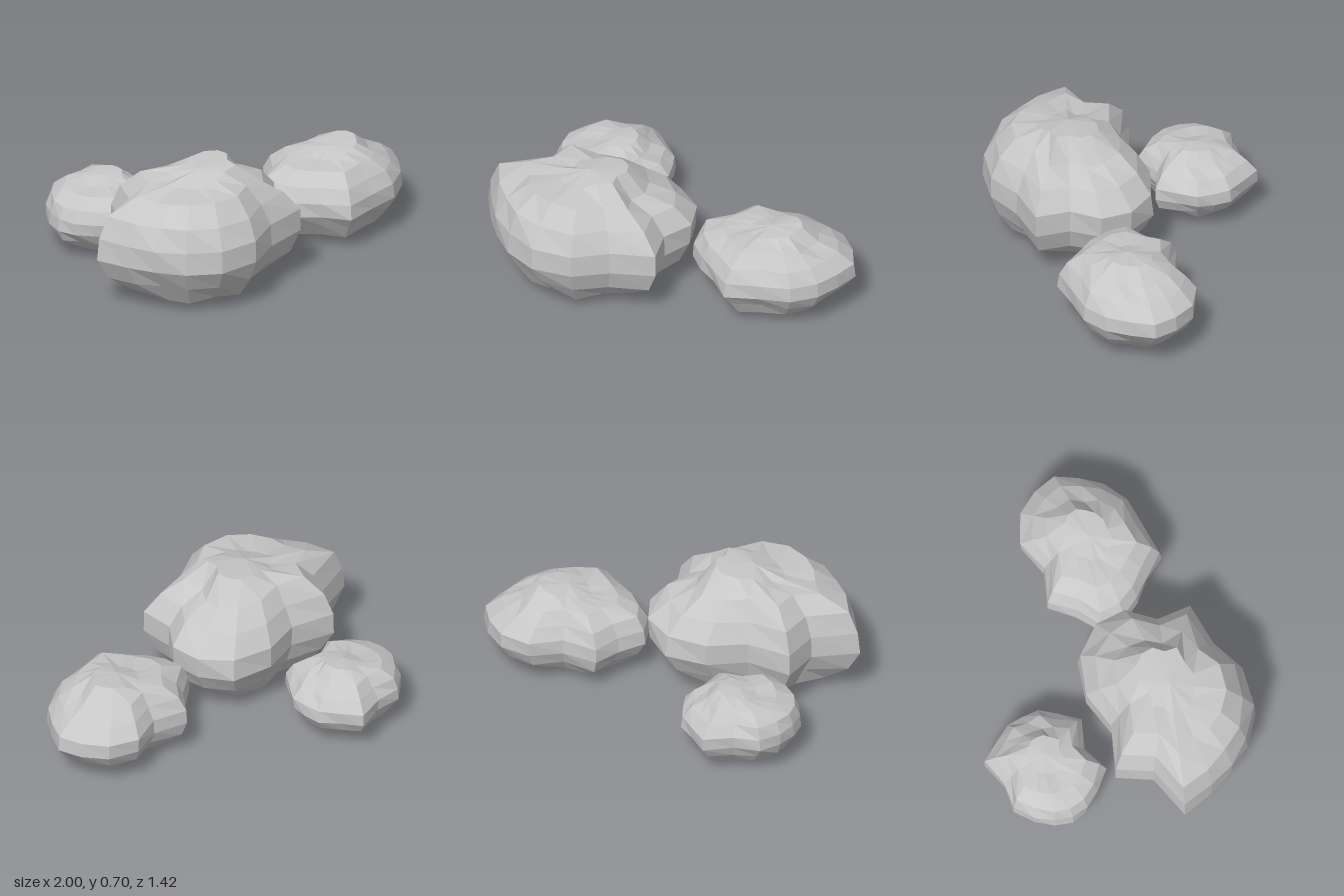
import * as THREE from 'three';

const SEGMENTS = 16, RINGS = 9;

// Repeatable hash in the range -1..1
const noise = (a, b, c) => {
  const s = Math.sin(a * 127.1 + b * 311.7 + c * 74.7) * 43758.5453;
  return (s - Math.floor(s)) * 2 - 1;
};

// Swell of each ring from top pole to bottom pole: [average, change towards +x, change along x, roughness]
const swell = [
  [0.96, 0, 0, 0], [0.955, 0.12, 0, 0.02], [0.96, -0.04, -0.06, 0.03], [0.98, -0.05, 0, 0.03], [0.995, 0, 0, 0.02],
  [1, 0, 0, 0.02], [1, 0, 0, 0.04], [1.05, -0.02, 0, 0.04], [1, 0.02, 0, 0.03], [0.99, 0, 0, 0],
];

// Each rock: centre, half height, and its reach at 16 headings from +x round by the back
const rocks = [
  { name: 'largeRock', centre: [-0.43, 0.355, 0.28], height: 0.35, seed: 1,
    reach: [0.56, 0.60, 0.62, 0.56, 0.46, 0.61, 0.47, 0.62, 0.53, 0.51, 0.53, 0.57, 0.58, 0.50, 0.61, 0.48] },
  { name: 'mediumRock', centre: [0.55, 0.26, 0.28], height: 0.23, seed: 2,
    reach: [0.455, 0.45, 0.47, 0.47, 0.36, 0.49, 0.41, 0.45, 0.42, 0.39, 0.39, 0.48, 0.41, 0.44, 0.43, 0.41] },
  { name: 'smallRock', centre: [-0.43, 0.22, -0.43], height: 0.19, seed: 3,
    reach: [0.30, 0.32, 0.33, 0.41, 0.33, 0.38, 0.35, 0.33, 0.33, 0.33, 0.35, 0.40, 0.30, 0.41, 0.33, 0.32] },
];

// Faceted boulder: a coarse sphere pushed in and out by heading and ring, flattened front to back
function rockGeometry({ height, seed, reach }) {
  const geometry = new THREE.SphereGeometry(1, SEGMENTS, RINGS);
  const p = geometry.attributes.position;
  for (let i = 0; i < p.count; i++) {
    const ring = Math.floor(i / (SEGMENTS + 1));
    const heading = ((i % (SEGMENTS + 1)) + SEGMENTS / 2) % SEGMENTS;
    const angle = heading / SEGMENTS * Math.PI * 2;
    const [average, towardsX, alongX, roughness] = swell[ring];
    const s = average + towardsX * Math.cos(angle) + alongX * Math.cos(2 * angle)
      + roughness * noise(ring, heading, seed);
    const r = reach[heading] * s;
    p.setXYZ(i, p.getX(i) * r, p.getY(i) * height * s, p.getZ(i) * r * 0.75);
  }
  const faceted = geometry.toNonIndexed();
  faceted.computeVertexNormals();
  return faceted;
}

export function createModel() {
  const group = new THREE.Group();
  group.name = 'rocks';
  const stone = new THREE.MeshStandardMaterial({ color: 0xc6c6c6, flatShading: true });
  stone.name = 'greyStone';
  for (const rock of rocks) {
    const mesh = new THREE.Mesh(rockGeometry(rock), stone);
    mesh.name = rock.name;
    mesh.position.set(...rock.centre);
    group.add(mesh);
  }
  return group;
}
